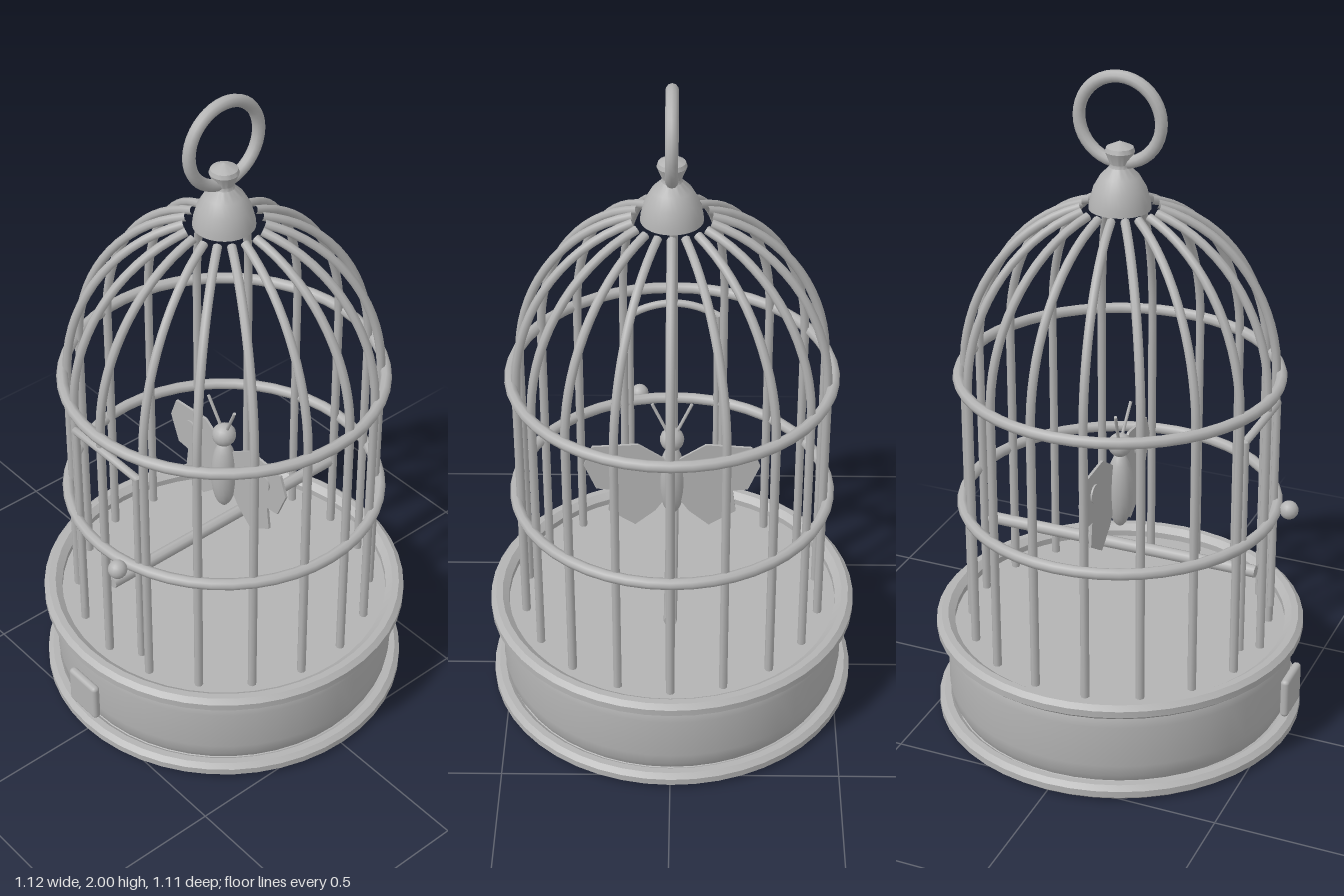
import * as THREE from 'three';
import { toCreasedNormals } from 'three/addons/utils/BufferGeometryUtils.js';
import { RoundedBoxGeometry } from 'three/addons/geometries/RoundedBoxGeometry.js';

const metal = new THREE.MeshStandardMaterial({ color: 0xb3b3b3 });
metal.name = 'grey metal';

const v3 = (x, y, z) => new THREE.Vector3(x, y, z);

function add(parent, name, geometry, x = 0, y = 0, z = 0) {
  const mesh = new THREE.Mesh(geometry, metal);
  mesh.name = name;
  mesh.position.set(x, y, z);
  parent.add(mesh);
  return mesh;
}

function lathe(points, segments) {
  const geo = new THREE.LatheGeometry(points.map(([r, y]) => new THREE.Vector2(r, y)), segments);
  return toCreasedNormals(geo, 0.6);
}

const hoop = (radius, tube) => new THREE.TorusGeometry(radius, tube, 8, 48).rotateX(Math.PI / 2);

function rod(a, b, radius) {
  const geo = new THREE.CylinderGeometry(radius, radius, a.distanceTo(b), 8);
  const dir = b.clone().sub(a).normalize();
  geo.applyQuaternion(new THREE.Quaternion().setFromUnitVectors(v3(0, 1, 0), dir));
  const mid = a.clone().add(b).multiplyScalar(0.5);
  return geo.translate(mid.x, mid.y, mid.z);
}

function wingPlate(points, side) {
  const shape = new THREE.Shape(points.map(([z, y]) => new THREE.Vector2(z * side, y)));
  const geo = new THREE.ExtrudeGeometry(shape, { depth: 0.008, bevelEnabled: false });
  return geo.rotateY(Math.PI / 2).translate(0.011, 0, 0);
}

export function createModel() {
  const model = new THREE.Group();
  model.name = 'birdcage';

  // Round base with a rim at the bottom and the top
  const base = new THREE.Group();
  base.name = 'base';
  model.add(base);
  add(base, 'drum', lathe([[0, 0.015], [0.53, 0.015], [0.53, 0.03], [0.505, 0.04], [0.518, 0.065],
    [0.522, 0.1], [0.522, 0.23], [0.518, 0.265], [0.505, 0.285], [0, 0.285]], 48));
  const rim = [[0.5, 0], [0.54, 0], [0.555, 0.013], [0.555, 0.033], [0.54, 0.046], [0.52, 0.046], [0.5, 0.03], [0.5, 0]];
  for (const [name, y] of [['bottomRim', 0.002], ['topRim', 0.274]]) {
    add(base, name, lathe(rim, 48), 0, y, 0);
  }
  add(base, 'sidePlate', new RoundedBoxGeometry(0.026, 0.125, 0.125, 3, 0.012), -0.55, 0.16, 0);

  // Eighteen bars: straight sides that bend into an elliptic dome
  const bars = new THREE.Group();
  bars.name = 'bars';
  model.add(bars);
  const path = [v3(0.45, 0.28, 0), v3(0.45, 0.7, 0), v3(0.45, 1.0, 0)];
  const steps = 10;
  const endAngle = Math.acos(0.11 / 0.45);
  for (let i = 0; i <= steps; i++) {
    const a = (i / steps) * endAngle;
    path.push(v3(0.45 * Math.cos(a), 1.1 + 0.52 * Math.sin(a), 0));
  }
  const barGeo = new THREE.TubeGeometry(new THREE.CatmullRomCurve3(path), 36, 0.013, 8);
  for (let i = 0; i < 18; i++) {
    add(bars, 'bar', barGeo).rotation.y = (i * Math.PI) / 9;
  }

  // Hoops around the bars
  add(model, 'lowerHoop', hoop(0.464, 0.017), 0, 0.7, 0);
  add(model, 'upperHoop', hoop(0.464, 0.017), 0, 1.105, 0);

  // Arched door frame following the cage wall, with a knob
  const door = new THREE.Group();
  door.name = 'door';
  model.add(door);
  const wall = (z, y) => v3(-Math.sqrt(0.455 ** 2 - z * z), y, z);
  for (const s of [-1, 1]) {
    add(door, 'doorPost', rod(wall(0.135 * s, 0.35), wall(0.135 * s, 1.025), 0.011));
  }
  const arch = [];
  for (let i = -4; i <= 4; i++) {
    const t = i / 4;
    arch.push(wall(0.138 * t, 1.055 - 0.032 * t * t));
  }
  add(door, 'doorArch', new THREE.TubeGeometry(new THREE.CatmullRomCurve3(arch), 20, 0.012, 8));
  add(door, 'doorKnob', new THREE.SphereGeometry(0.028, 16, 12), -0.49, 0.7, 0.108);

  // Perch across the cage
  add(model, 'perch', rod(v3(-0.43, 0.537, 0), v3(0.43, 0.537, 0), 0.019));

  // Butterfly with its wings spread front to back
  const butterfly = new THREE.Group();
  butterfly.name = 'butterfly';
  model.add(butterfly);
  add(butterfly, 'body', new THREE.SphereGeometry(1, 16, 12).scale(0.04, 0.122, 0.04), 0, 0.722, 0);
  add(butterfly, 'head', new THREE.SphereGeometry(0.036, 16, 12), 0, 0.868, 0);
  const upper = [[0.01, 0.8], [0.1, 0.86], [0.235, 0.85], [0.26, 0.785], [0.225, 0.7], [0.01, 0.68]];
  const lower = [[0.01, 0.71], [0.18, 0.7], [0.19, 0.62], [0.11, 0.568], [0.05, 0.62], [0.01, 0.68]];
  for (const s of [-1, 1]) {
    add(butterfly, 'upperWing', wingPlate(upper, s));
    add(butterfly, 'lowerWing', wingPlate(lower, s));
    const spot = new THREE.CylinderGeometry(0.028, 0.028, 0.006, 16).rotateZ(Math.PI / 2);
    add(butterfly, 'wingSpot', spot, 0.009, 0.785, 0.165 * s);
    add(butterfly, 'antenna', rod(v3(0, 0.885, 0.01 * s), v3(-0.01, 0.985, 0.058 * s), 0.005));
  }

  // Crown cap and hanging ring
  add(model, 'crown', lathe([[0, 1.605], [0.088, 1.605], [0.086, 1.625], [0.075, 1.665], [0.055, 1.7],
    [0.03, 1.725], [0.028, 1.735], [0.042, 1.77], [0.038, 1.782], [0, 1.8]], 28));
  add(model, 'hangingRing', new THREE.TorusGeometry(0.122, 0.018, 10, 40), 0, 1.86, 0);

  return model;
}
